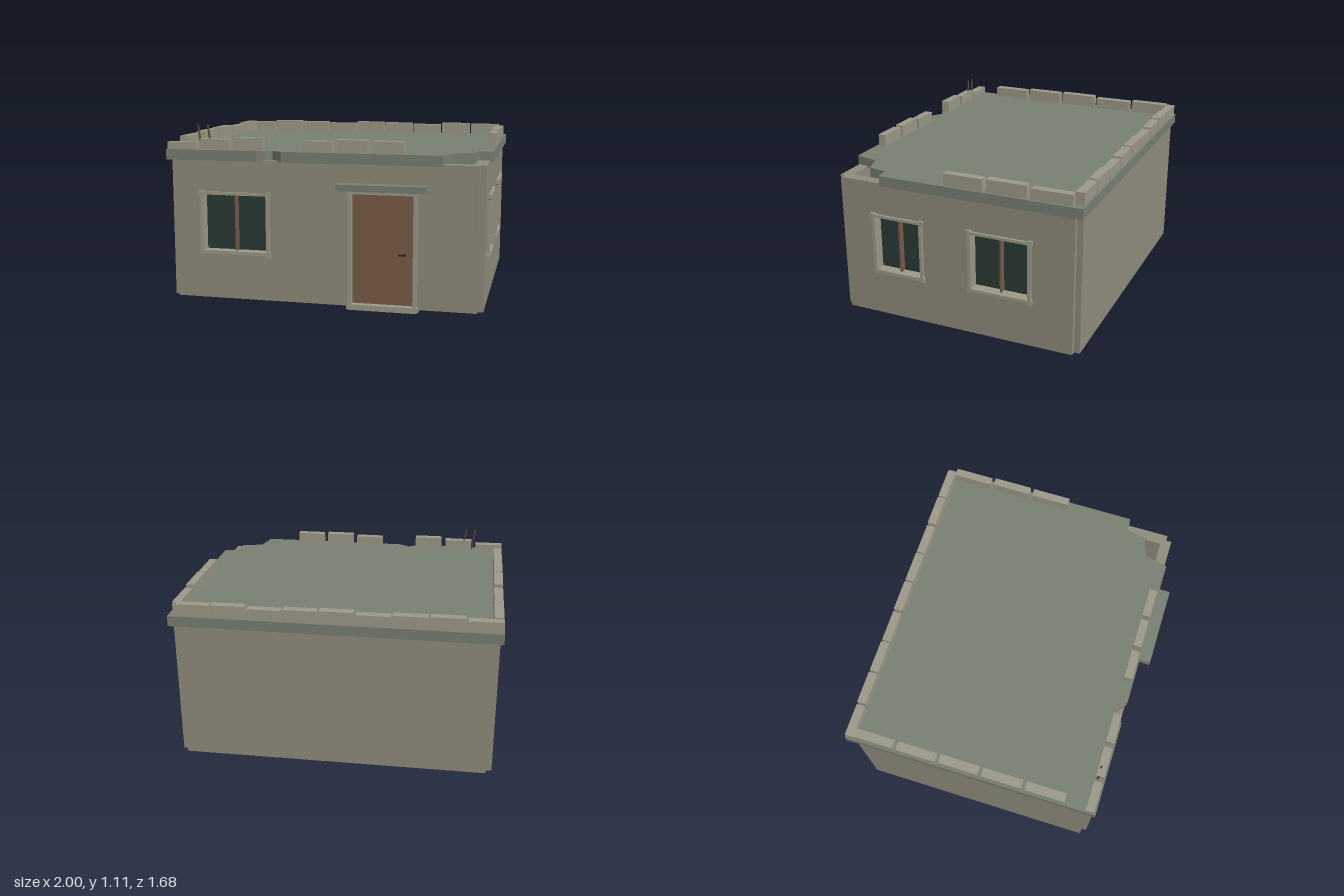
import * as THREE from 'three';

const mat = (color) => new THREE.MeshStandardMaterial({ color });

export function createModel() {
  const house = new THREE.Group();
  house.name = 'house';
  const wallMat = mat(0x8f8d7c), roofMat = mat(0x788073), trimMat = mat(0x9c9a88);
  const woodMat = mat(0x7a5c48), glassMat = mat(0x2b3a35), metalMat = mat(0x2a2a28);

  function add(parent, name, geometry, material) {
    const mesh = new THREE.Mesh(geometry, material);
    mesh.name = name;
    parent.add(mesh);
    return mesh;
  }

  // Box given by its limits on each axis
  function box(parent, name, material, x0, x1, y0, y1, z0, z1) {
    const mesh = add(parent, name, new THREE.BoxGeometry(x1 - x0, y1 - y0, z1 - z0), material);
    mesh.position.set((x0 + x1) / 2, (y0 + y1) / 2, (z0 + z1) / 2);
    return mesh;
  }

  const polygon = (points) => new THREE.Shape(points.map(([x, y]) => new THREE.Vector2(x, y)));
  const rect = (x0, x1, y0, y1) => polygon([[x0, y0], [x1, y0], [x1, y1], [x0, y1]]);

  // Flat slab between two depths
  function slab(parent, name, material, shape, z0, z1) {
    const geometry = new THREE.ExtrudeGeometry(shape, { depth: z1 - z0, bevelEnabled: false });
    geometry.translate(0, 0, z0);
    return add(parent, name, geometry, material);
  }

  // Frame whose corners stand out a little from its sides
  function frame(parent, name, outer, inner, z0, z1) {
    const [x0, x1, y0, y1] = outer, e = 0.007, c = 0.028;
    const shape = polygon([
      [x0, y0], [x0 + c, y0], [x0 + c + e, y0 + e], [x1 - c - e, y0 + e], [x1 - c, y0], [x1, y0],
      [x1, y0 + c], [x1 - e, y0 + c + e], [x1 - e, y1 - c - e], [x1, y1 - c], [x1, y1],
      [x1 - c, y1], [x1 - c - e, y1 - e], [x0 + c + e, y1 - e], [x0 + c, y1], [x0, y1],
      [x0, y1 - c], [x0 + e, y1 - c - e], [x0 + e, y0 + c + e], [x0, y0 + c],
    ]);
    shape.holes.push(rect(...inner));
    slab(parent, name, trimMat, shape, z0, z1);
  }

  // Wall with openings, facing local +z with its outer face at depth d
  const gap = 0.006;
  function wall(name, u0, u1, d, openings) {
    const group = new THREE.Group();
    group.name = name;
    const shape = rect(u0, u1, 0.02, 0.9);
    for (const [a, b, c, e] of openings) shape.holes.push(rect(a - gap, b + gap, c - gap, e + gap));
    slab(group, name + 'Panel', wallMat, shape, d - 0.07, d);
    house.add(group);
    return group;
  }

  // Frame, recessed glass and central mullion
  function windowUnit(parent, [a, b, c, e], d) {
    const group = new THREE.Group(), m = (a + b) / 2;
    group.name = 'window';
    frame(group, 'windowFrame', [a - 0.028, b + 0.028, c - 0.028, e + 0.025], [a, b, c, e], d - 0.055, d + 0.016);
    box(group, 'windowGlass', glassMat, a - gap, b + gap, c - gap, e + gap, d - 0.064, d - 0.054);
    box(group, 'windowMullion', woodMat, m - 0.006, m + 0.006, c, e, d - 0.056, d - 0.016);
    parent.add(group);
  }

  // Walls, stopping short of the corners to leave a notch
  const frontZ = 0.755, sideX = 0.98;
  const frontWindow = [-0.762, -0.353, 0.325, 0.678];
  const doorway = [0.185, 0.562, 0.034, 0.712];
  const front = wall('frontWall', -0.945, 0.945, frontZ, [frontWindow, doorway]);
  windowUnit(front, frontWindow, frontZ);

  const rightWindows = [[-0.497, -0.193, 0.325, 0.678], [0.152, 0.515, 0.325, 0.678]];
  const right = wall('rightWall', -0.72, 0.795, sideX, rightWindows);
  right.rotation.y = Math.PI / 2;
  for (const opening of rightWindows) windowUnit(right, opening, sideX);

  wall('leftWall', -0.795, 0.72, sideX, []).rotation.y = -Math.PI / 2;
  wall('backWall', -0.945, 0.945, 0.83, []).rotation.y = Math.PI;

  // Door with frame, canopy and handle
  const door = new THREE.Group();
  door.name = 'door';
  front.add(door);
  frame(door, 'doorFrame', [0.156, 0.595, 0.003, 0.745], doorway, 0.70, 0.773);
  box(door, 'doorSill', trimMat, 0.165, 0.585, 0, 0.03, 0.72, 0.775);
  box(door, 'doorPanel', woodMat, 0.18, 0.567, 0.03, 0.717, 0.69, 0.73);
  box(door, 'doorCanopy', roofMat, 0.105, 0.64, 0.738, 0.777, 0.75, 0.84);
  box(door, 'handleStem', metalMat, 0.502, 0.514, 0.348, 0.358, 0.73, 0.77);
  box(door, 'handleLever', metalMat, 0.474, 0.516, 0.348, 0.358, 0.766, 0.777);

  // Roof slab with a broken front corner and a chipped front edge
  const roof = slab(house, 'roofSlab', roofMat, polygon([
    [-1, 0.765], [-0.41, 0.765], [-0.36, 0.748], [-0.32, 0.72], [-0.255, 0.765],
    [0.73, 0.765], [0.765, 0.615], [0.89, 0.575], [0.915, 0.455], [1, 0.445],
    [1, -0.845], [-1, -0.845],
  ].map(([x, z]) => [x, -z])), 0.89, 0.955);
  roof.rotation.x = -Math.PI / 2;

  // Parapet blocks of slightly uneven height, some missing
  const parapet = new THREE.Group();
  parapet.name = 'parapet';
  house.add(parapet);
  const block = (x0, x1, z0, z1, top) => box(parapet, 'parapetBlock', trimMat, x0, x1, 0.95, top, z0, z1);
  const tops = [1.03, 1.022, 1.034];
  for (let i = 0; i < 9; i++) {
    const x = -0.995 + i * 0.2175;
    block(x, x + 0.204, -0.835, -0.78, tops[(i + 1) % 3]);
  }
  for (let i = 0; i < 5; i++) {
    const z = -0.78 + i * 0.274;
    block(-0.993, -0.937, z, z + 0.25, tops[i % 3]);
    if (i < 3) block(0.935, 0.985, z, z + 0.25, tops[(i + 1) % 3]);
  }
  [0, 1, 2, 4, 5, 6].forEach((i) => {
    const x = -0.996 + i * 0.218;
    block(x, x + 0.188, 0.70, 0.752, i === 0 ? 1.0 : tops[i % 3]);
  });

  // Bent reinforcing bars rising from the parapet
  for (const [x0, x1] of [[-0.778, -0.803], [-0.715, -0.738]]) {
    const path = new THREE.LineCurve3(new THREE.Vector3(x0, 0.94, 0.715), new THREE.Vector3(x1, 1.108, 0.717));
    const bar = add(house, 'reinforcingBar', new THREE.TubeGeometry(path, 1, 0.006, 6), woodMat);
    bar.material = mat(0x5e4a3c);
    bar.material.side = THREE.DoubleSide;
  }

  return house;
}
